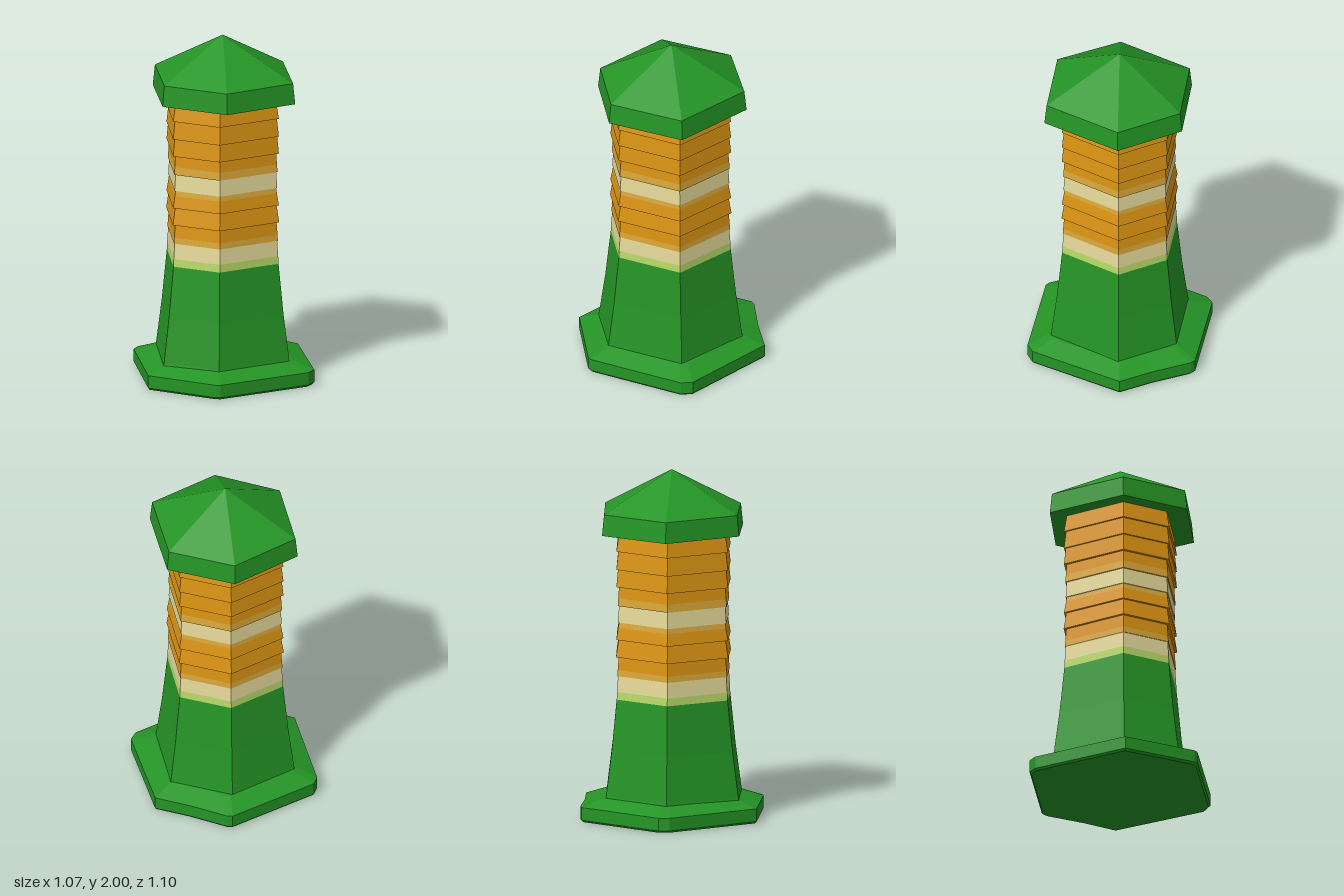
import * as THREE from 'three';

const paint = (name, color) => {
  const m = new THREE.MeshStandardMaterial({ color, flatShading: true });
  m.name = name;
  return m;
};

// Slightly uneven hexagon outlines as [x, z], clockwise from above
const BASE = [[0.03, -0.55], [0.51, -0.24], [0.533, -0.175], [0.40, 0.38], [0.38, 0.40],
  [-0.03, 0.545], [-0.51, 0.22], [-0.537, 0.165], [-0.41, -0.375], [-0.385, -0.395], [-0.16, -0.47]];
const BODY = [[0.03, -0.42], [0.40, -0.15], [0.30, 0.30], [-0.025, 0.43], [-0.40, 0.15], [-0.31, -0.27]];
const ROOF = [[0.035, -0.445], [0.437, -0.16], [0.35, 0.285], [-0.03, 0.435], [-0.42, 0.155], [-0.34, -0.28]];

// Closed solid through scaled copies of an outline; levels are [y, scale]
function loft(outline, levels) {
  const pos = [];
  const n = outline.length;
  const at = ([y, s], i) => [outline[i % n][0] * s, y, outline[i % n][1] * s];
  const tri = (...corners) => corners.forEach((c) => pos.push(...c));
  const low = levels[0];
  const high = levels[levels.length - 1];
  for (let i = 0; i < n; i++) {
    for (let k = 0; k < levels.length - 1; k++) {
      const a = at(levels[k], i + 1), b = at(levels[k], i);
      const c = at(levels[k + 1], i), d = at(levels[k + 1], i + 1);
      tri(a, b, c);
      tri(a, c, d);
    }
    tri([0, low[0], 0], at(low, i), at(low, i + 1));
    tri([0, high[0], 0], at(high, i + 1), at(high, i));
  }
  const g = new THREE.BufferGeometry();
  g.setAttribute('position', new THREE.Float32BufferAttribute(pos, 3));
  g.computeVertexNormals();
  return g;
}

export function createModel() {
  const green = paint('green', 0x259526);
  const orange = paint('orange', 0xdb9412);
  const cream = paint('cream', 0xe6da9b);
  const lime = paint('lime', 0xb9db6a);
  const tan = paint('tan', 0xd9a83a);

  const tower = new THREE.Group();
  tower.name = 'tower';
  const add = (name, outline, levels, material) => {
    const mesh = new THREE.Mesh(loft(outline, levels), material);
    mesh.name = name;
    tower.add(mesh);
  };

  // Bevelled plinth with a sloping top
  add('plinth', BASE, [[0, 0.98], [0.012, 1], [0.085, 1], [0.13, 0.76]], green);

  // Tapering lower wall
  add('lowerWall', BODY, [[0.11, 1.01], [0.14, 0.995], [0.4, 0.91], [0.695, 0.835]], green);

  // Overlapping boards split into colour bands: [y0, y1, scale0, scale1, material]
  const bands = [
    [0.695, 0.74, 0.835, 0.83, lime],
    [0.74, 0.83, 0.83, 0.815, cream],
    [0.83, 0.865, 0.825, 0.82, tan],
    [0.865, 0.94, 0.82, 0.805, orange],
    [0.94, 1.04, 0.845, 0.805, orange],
    [1.04, 1.11, 0.84, 0.81, orange],
    [1.11, 1.14, 0.81, 0.80, tan],
    [1.14, 1.235, 0.815, 0.80, cream],
    [1.235, 1.28, 0.82, 0.812, tan],
    [1.28, 1.345, 0.812, 0.80, orange],
    [1.345, 1.445, 0.84, 0.815, orange],
    [1.445, 1.55, 0.84, 0.81, orange],
    [1.55, 1.66, 0.84, 0.795, orange],
  ];
  bands.forEach(([y0, y1, s0, s1, material], i) => {
    add(`wallBand${i + 1}`, BODY, [[y0, s0], [y1, s1]], material);
  });

  // Overhanging six-sided roof
  add('roof', ROOF, [[1.65, 1], [1.77, 0.97], [1.995, 0.025], [2, 0.003]], green);

  return tower;
}
